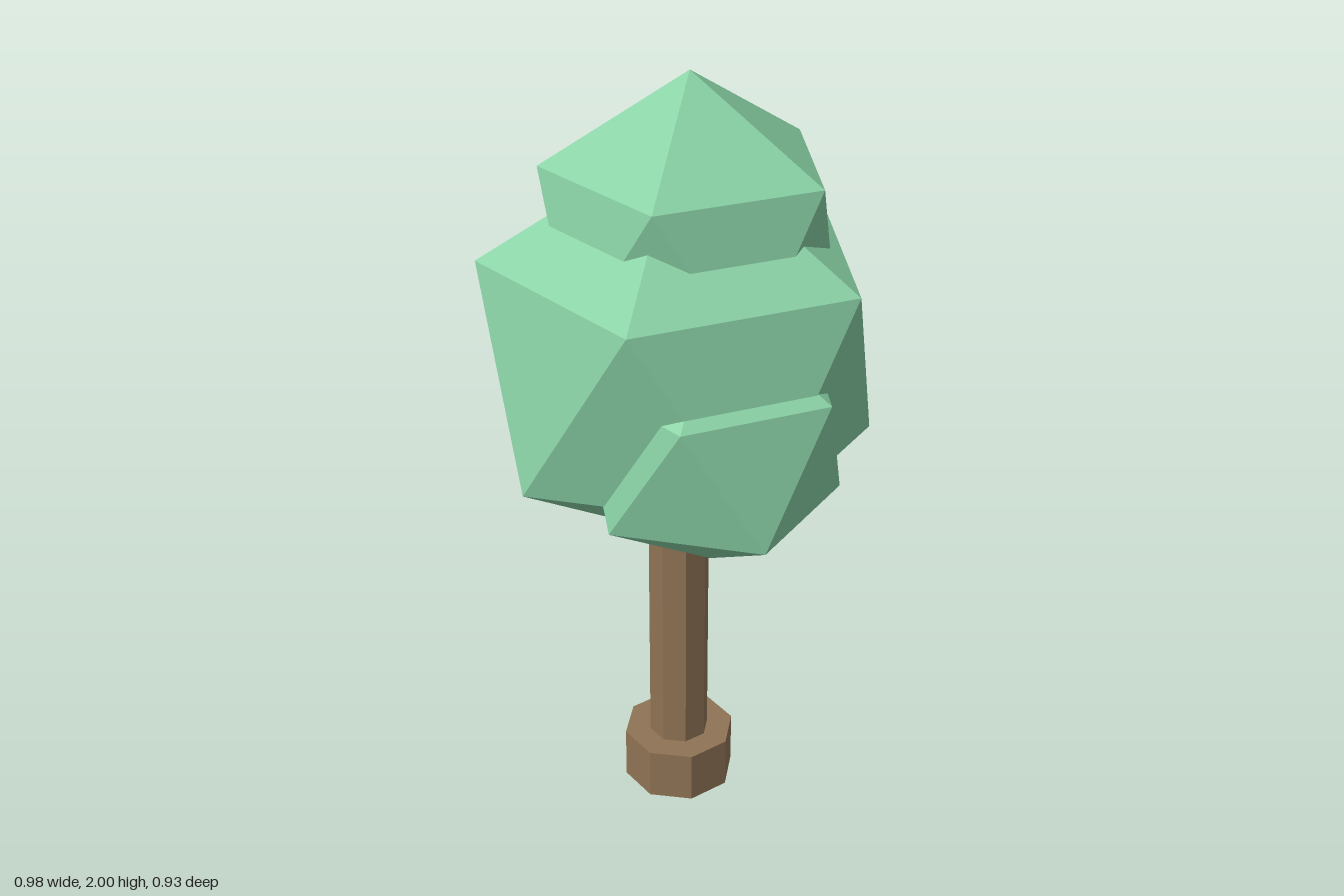
import * as THREE from 'three';

export function createModel() {
  const model = new THREE.Group();
  const leafGreen = new THREE.MeshStandardMaterial({ name: 'leafGreen', color: 0x88d0a4 });
  const barkBrown = new THREE.MeshStandardMaterial({ name: 'barkBrown', color: 0x8f7355 });

  function add(name, geometry, material, x, y, z) {
    const mesh = new THREE.Mesh(geometry, material);
    mesh.name = name;
    mesh.position.set(x, y, z);
    model.add(mesh);
  }

  // Eight-sided prism standing on yBottom, with a corner facing front
  function addPrism(name, radius, yBottom, yTop) {
    const height = yTop - yBottom;
    const geometry = new THREE.CylinderGeometry(radius, radius, height, 8).toNonIndexed();
    geometry.computeVertexNormals();
    add(name, geometry, barkBrown, 0, yBottom + height / 2, 0);
  }

  // Icosahedron turned so one corner points straight up
  const tilt = Math.atan(2 / (1 + Math.sqrt(5)));
  function addClump(name, radius, x, y, z) {
    const geometry = new THREE.IcosahedronGeometry(radius, 0).rotateZ(-tilt);
    add(name, geometry, leafGreen, x, y, z);
  }

  // Trunk and its wide foot
  addPrism('trunkBase', 0.151, 0, 0.145);
  addPrism('trunk', 0.081, 0.145, 1.0);

  // Foliage clumps
  addClump('mainFoliage', 0.546, 0, 1.314, 0);
  addClump('topFoliage', 0.403, 0, 1.597, -0.048);
  addClump('sideFoliage', 0.358, 0.165, 1.171, 0.118);

  return model;
}
